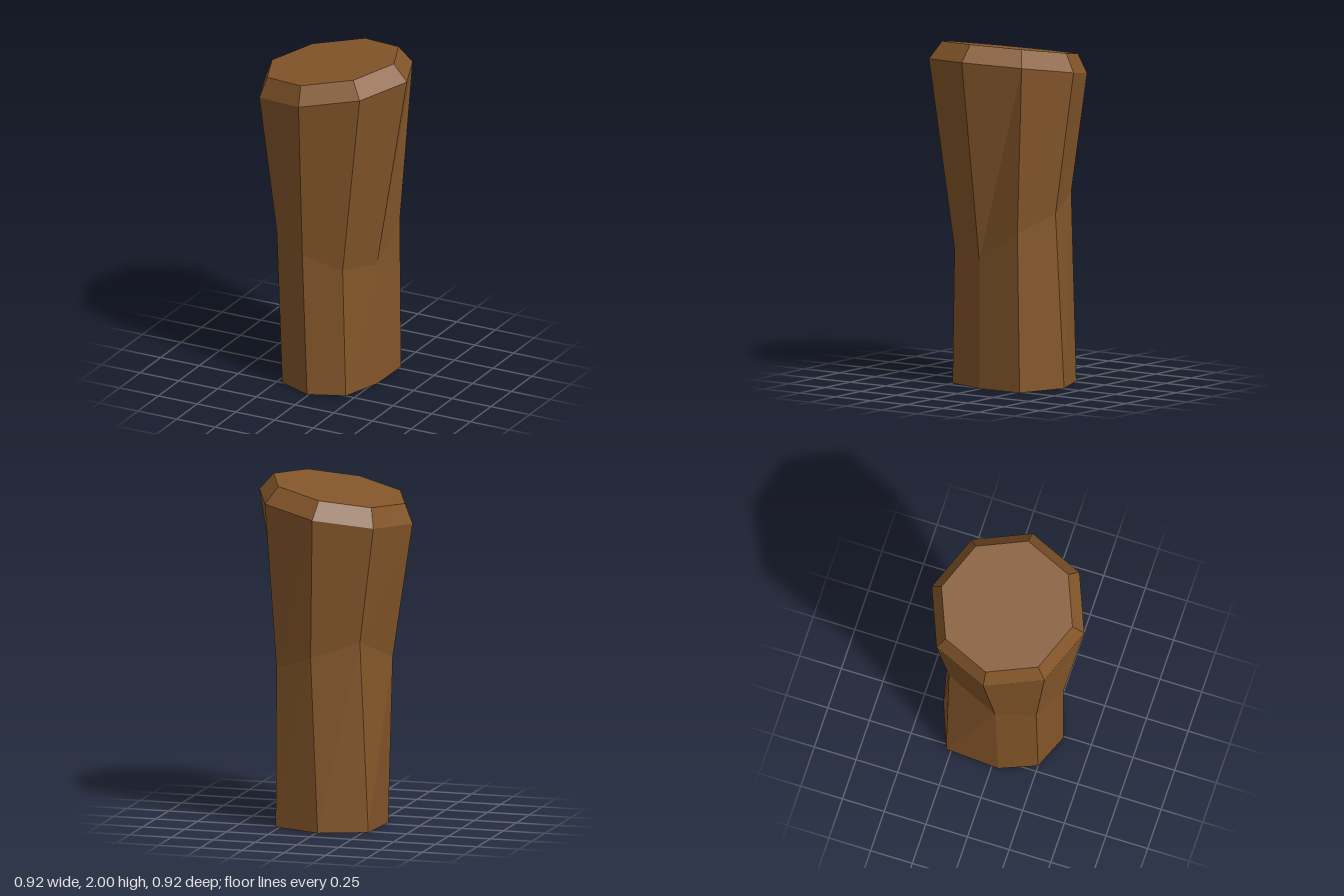
import * as THREE from 'three';

// Tilted regular octagon, starting at +x and turning towards +z
function tiltedRing(radius, cx, cy, slope) {
  return Array.from({ length: 8 }, (_, i) => {
    const a = (i * Math.PI) / 4;
    const x = radius * Math.cos(a);
    return [cx + x, cy + slope * x, radius * Math.sin(a)];
  });
}

function flatGeometry(points) {
  const geometry = new THREE.BufferGeometry();
  geometry.setAttribute('position', new THREE.Float32BufferAttribute(points.flat(), 3));
  geometry.computeVertexNormals();
  return geometry;
}

// Flat-shaded band joining two rings
function band(lower, upper) {
  const points = [];
  for (let i = 0; i < 8; i++) {
    const j = (i + 1) % 8;
    points.push(lower[j], lower[i], upper[i], lower[j], upper[i], upper[j]);
  }
  return flatGeometry(points);
}

export function createModel() {
  const group = new THREE.Group();
  group.name = 'woodenStump';
  const wood = new THREE.MeshStandardMaterial({ color: 0x84562a, side: THREE.DoubleSide, flatShading: true });
  wood.name = 'brown wood';

  const add = (name, geometry) => {
    const mesh = new THREE.Mesh(geometry, wood);
    mesh.name = name;
    group.add(mesh);
  };

  // Hand-cut irregular rings of the lower half
  const base = [
    [0.27, 0, 0.01], [0.195, 0, 0.25], [-0.01, 0, 0.335], [-0.215, 0, 0.25],
    [-0.3, 0, 0.04], [-0.28, 0, -0.28], [-0.01, 0, -0.385], [0.275, 0, -0.275],
  ];
  const waist = [
    [0.27, 0.74, 0.01], [0.175, 0.77, 0.25], [-0.035, 0.86, 0.345], [-0.25, 0.93, 0.25],
    [-0.33, 0.97, 0.03], [-0.23, 1.1, -0.28], [0.04, 1.01, -0.36], [0.275, 0.92, -0.26],
  ];
  const shoulder = tiltedRing(0.458, 0, 1.83, 0.165);
  const rim = tiltedRing(0.393, -0.02, 1.935, 0.166);

  add('lowerTrunk', band(base, waist));
  add('upperTrunk', band(waist, shoulder));
  add('bevel', band(shoulder, rim));

  // Slanted cut face; the bottom stays open
  const cap = [];
  for (let i = 1; i < 7; i++) cap.push(rim[0], rim[i + 1], rim[i]);
  add('cutTop', flatGeometry(cap));

  return group;
}
